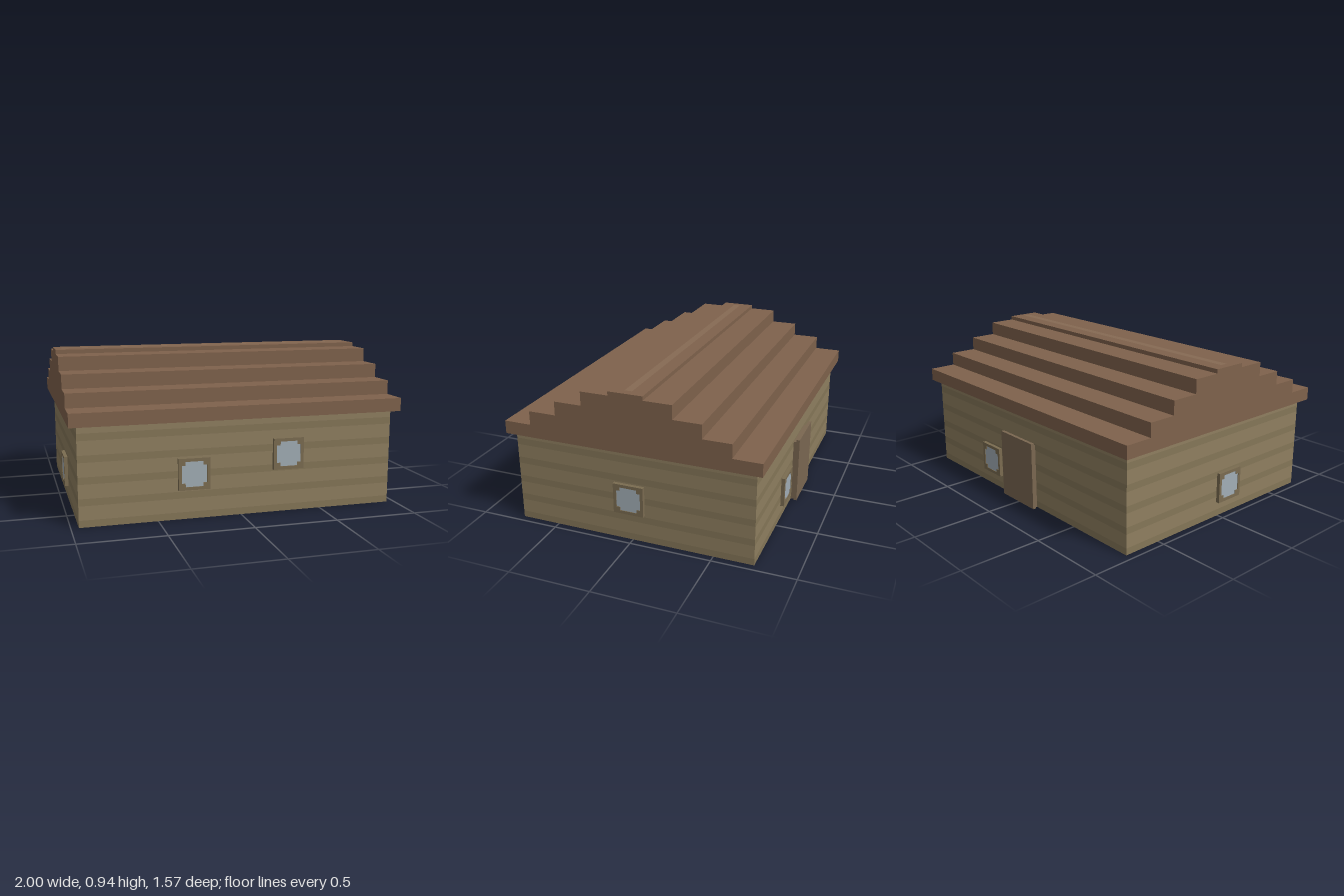
import * as THREE from 'three';

const mat = (color) => new THREE.MeshStandardMaterial({ color, flatShading: true });
const mats = {
  wall: mat(0x8f7f60), wallDark: mat(0x857658), frame: mat(0x7b6c51),
  roof: mat(0x7f624c), ridge: mat(0x866a54), pane: mat(0xa2aeb6), door: mat(0x7a6751),
};
const W = 0.955, D = 0.743, EAVE = 0.58;

function add(parent, name, geometry, material, x = 0, y = 0, z = 0) {
  const mesh = new THREE.Mesh(geometry, material);
  mesh.name = name;
  mesh.position.set(x, y, z);
  parent.add(mesh);
  return mesh;
}

// Square pane outline with notched corners
function notchedSquare(Target, r, n) {
  const p = [[-r + n, -r], [r - n, -r], [r - n, -r + n], [r, -r + n], [r, r - n], [r - n, r - n],
    [r - n, r], [-r + n, r], [-r + n, r - n], [-r, r - n], [-r, -r + n], [-r + n, -r + n]];
  return new Target(p.map(([x, y]) => new THREE.Vector2(x, y)));
}

// Window facing +z with its back on z = 0
function makeWindow(name) {
  const group = new THREE.Group();
  group.name = name;
  const r = 0.094;
  const outline = new THREE.Shape([[-r, -r], [r, -r], [r, r], [-r, r]].map(([x, y]) => new THREE.Vector2(x, y)));
  outline.holes.push(notchedSquare(THREE.Path, 0.075, 0.022));
  add(group, 'windowFrame', new THREE.ExtrudeGeometry(outline, { depth: 0.022, bevelEnabled: false }), mats.frame);
  add(group, 'windowPane', new THREE.ShapeGeometry(notchedSquare(THREE.Shape, 0.075, 0.022)), mats.pane, 0, 0, 0.018);
  return group;
}

export function createModel() {
  const house = new THREE.Group();
  house.name = 'house';

  // Walls in alternating plank courses
  const walls = new THREE.Group();
  walls.name = 'walls';
  const courses = 14, h = EAVE / courses;
  for (let i = 0; i < courses; i++) {
    const ring = new THREE.CylinderGeometry(Math.SQRT2, Math.SQRT2, h, 4, 1, true);
    ring.rotateY(Math.PI / 4).scale(W, 1, D);
    add(walls, 'wallCourse', ring, i % 3 ? mats.wall : mats.wallDark, 0, (i + 0.5) * h, 0);
  }
  house.add(walls);
  add(house, 'floor', new THREE.PlaneGeometry(2 * W, 2 * D).rotateX(Math.PI / 2), mats.wallDark);

  // Stepped roof, one profile along x
  const steps = [[0.785, 0.66], [0.615, 0.745], [0.445, 0.83], [0.275, 0.915], [0.105, 0.94]];
  const half = [];
  let y = EAVE;
  for (const [z, top] of steps) {
    half.push([z, y], [z, top]);
    y = top;
  }
  const profile = [...half, ...half.map(([z, v]) => [-z, v]).reverse()];
  const roof = new THREE.ExtrudeGeometry(
    new THREE.Shape(profile.map(([z, v]) => new THREE.Vector2(z, v))), { depth: 2, bevelEnabled: false });
  roof.translate(0, 0, -1).rotateY(-Math.PI / 2);
  add(house, 'roof', roof, mats.roof);
  add(house, 'ridgeStrip', new THREE.PlaneGeometry(2 * W, 0.045).rotateX(-Math.PI / 2), mats.ridge, 0, 0.941, 0);

  // Windows: name, position, turn about y
  const windows = [
    ['frontWindowRight', -0.29, 0.27, D, 0],
    ['frontWindowLeft', 0.287, 0.355, D, 0],
    ['leftWindow', W, 0.27, 0.015, Math.PI / 2],
    ['rightWindow', -W, 0.185, 0.08, -Math.PI / 2],
    ['backWindow', 0.32, 0.185, -D, Math.PI],
  ];
  for (const [name, x, wy, z, turn] of windows) {
    const win = makeWindow(name);
    win.position.set(x, wy, z);
    win.rotation.y = turn;
    house.add(win);
  }

  // Back door: inner frame and outer slab
  add(house, 'doorFrame', new THREE.BoxGeometry(0.28, 0.405, 0.024), mats.door, 0, 0.2025, -D - 0.011);
  add(house, 'door', new THREE.BoxGeometry(0.316, 0.425, 0.02), mats.door, 0, 0.2155, -0.775);

  return house;
}
